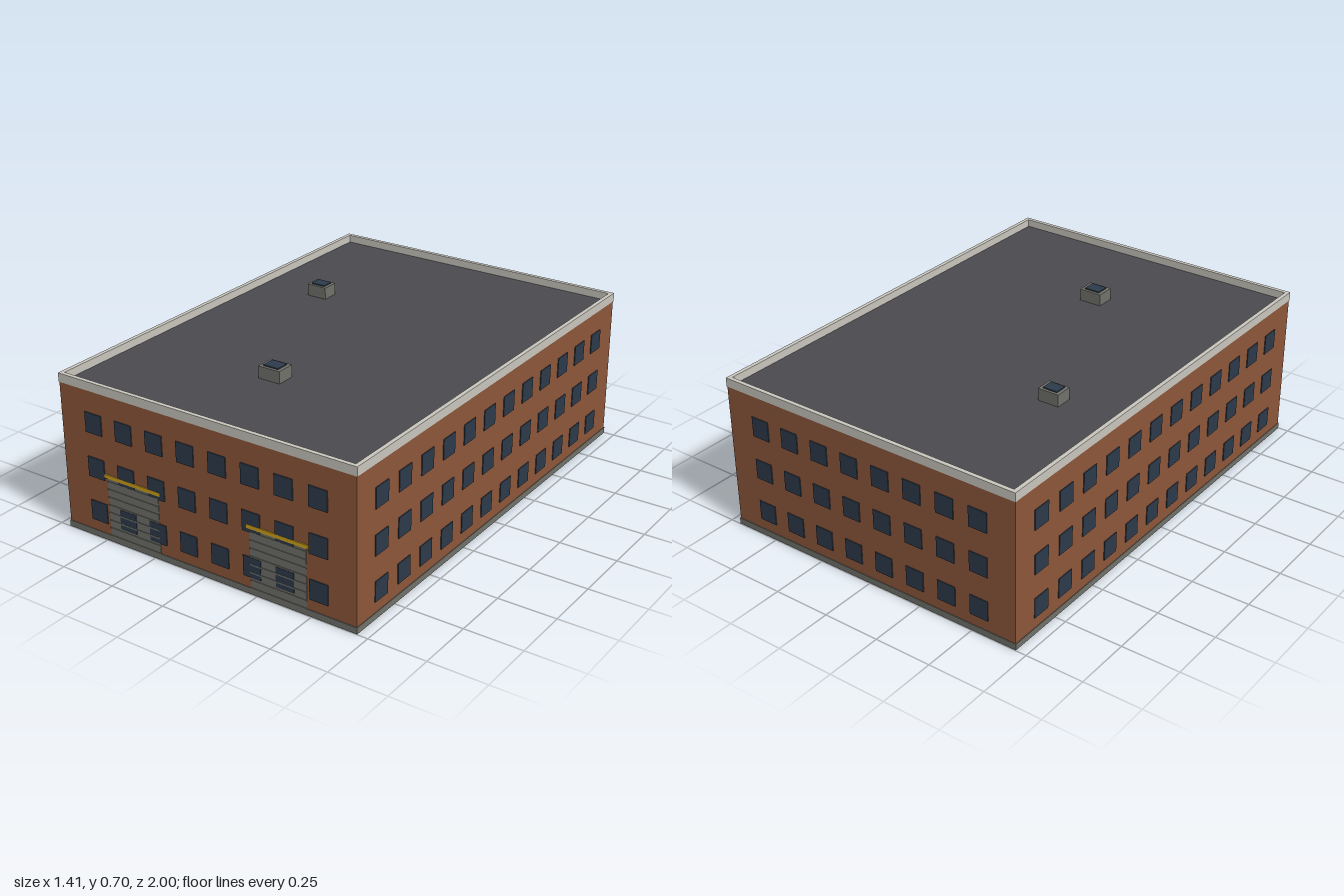
import * as THREE from 'three';

const material = (name, color) => {
  const m = new THREE.MeshStandardMaterial({ color });
  m.name = name;
  return m;
};

export function createModel() {
  const brick = material('brick', 0x8c563a);
  const glass = material('dark glass', 0x2d3a4a);
  const concrete = material('grey concrete', 0x70716a);
  const stone = material('pale stone', 0xc8c5bc);
  const roofing = material('roofing felt', 0x4a494e);
  const yellow = material('yellow paint', 0xd0a11c);

  const model = new THREE.Group();
  model.name = 'building';
  const W = 0.7, D = 0.995; // half width and half depth of the walls

  const box = (parent, name, mat, w, h, d, x, y, z) => {
    const mesh = new THREE.Mesh(new THREE.BoxGeometry(w, h, d), mat);
    mesh.name = name;
    mesh.position.set(x, y, z);
    parent.add(mesh);
    return mesh;
  };

  // Main volume
  box(model, 'walls', brick, W * 2, 0.634, D * 2, 0, 0.323, 0);
  box(model, 'plinth', concrete, W * 2 + 0.006, 0.027, D * 2 + 0.006, 0, 0.0135, 0);
  box(model, 'roof', roofing, W * 2 - 0.01, 0.006, D * 2 - 0.01, 0, 0.642, 0);

  // Parapet frame around the roof
  const rect = (path, x, z) => path.moveTo(-x, -z).lineTo(x, -z).lineTo(x, z).lineTo(-x, z).closePath();
  const frame = new THREE.Shape();
  rect(frame, W + 0.002, D + 0.002);
  const opening = new THREE.Path();
  rect(opening, W - 0.016, D - 0.016);
  frame.holes.push(opening);
  const parapet = new THREE.Mesh(
    new THREE.ExtrudeGeometry(frame, { depth: 0.038, bevelEnabled: false }).rotateX(-Math.PI / 2), stone);
  parapet.name = 'parapet';
  parapet.position.y = 0.641;
  model.add(parapet);

  // Three rows of windows on every facade
  const facades = [
    ['front', 8, D, 0], ['back', 8, D, Math.PI],
    ['left', 12, W, Math.PI / 2], ['right', 12, W, -Math.PI / 2],
  ];
  for (const [side, count, distance, turn] of facades) {
    const facade = new THREE.Group();
    facade.name = side + 'Windows';
    facade.rotation.y = turn;
    for (const y of [0.117, 0.311, 0.504])
      for (let i = 0; i < count; i++)
        box(facade, 'window', glass, 0.083, 0.087, 0.008, (i - (count - 1) / 2) * 0.1525, y, distance);
    model.add(facade);
  }

  // Two ribbed loading doors with canopies
  for (const x of [-0.35, 0.35]) {
    const dock = new THREE.Group();
    dock.name = 'loadingDoor';
    box(dock, 'doorPanel', concrete, 0.258, 0.285, 0.004, x, 0.1425, D);
    for (let i = 0; i < 8; i++)
      box(dock, 'doorRib', concrete, 0.258, 0.006, 0.0095, x, 0.027 + i * 0.0345, D);
    box(dock, 'canopy', yellow, 0.282, 0.016, 0.01, x, 0.291, D);
    model.add(dock);
  }

  // Rooftop skylights
  for (const [x, z, w, d] of [[-0.393, -0.333, 0.094, 0.076], [-0.025, 0.497, 0.102, 0.082]]) {
    const skylight = new THREE.Group();
    skylight.name = 'skylight';
    box(skylight, 'curb', concrete, w, 0.053, d, x, 0.6705, z);
    box(skylight, 'pane', glass, w * 0.7, 0.006, d * 0.7, x, 0.699, z);
    model.add(skylight);
  }

  return model;
}
